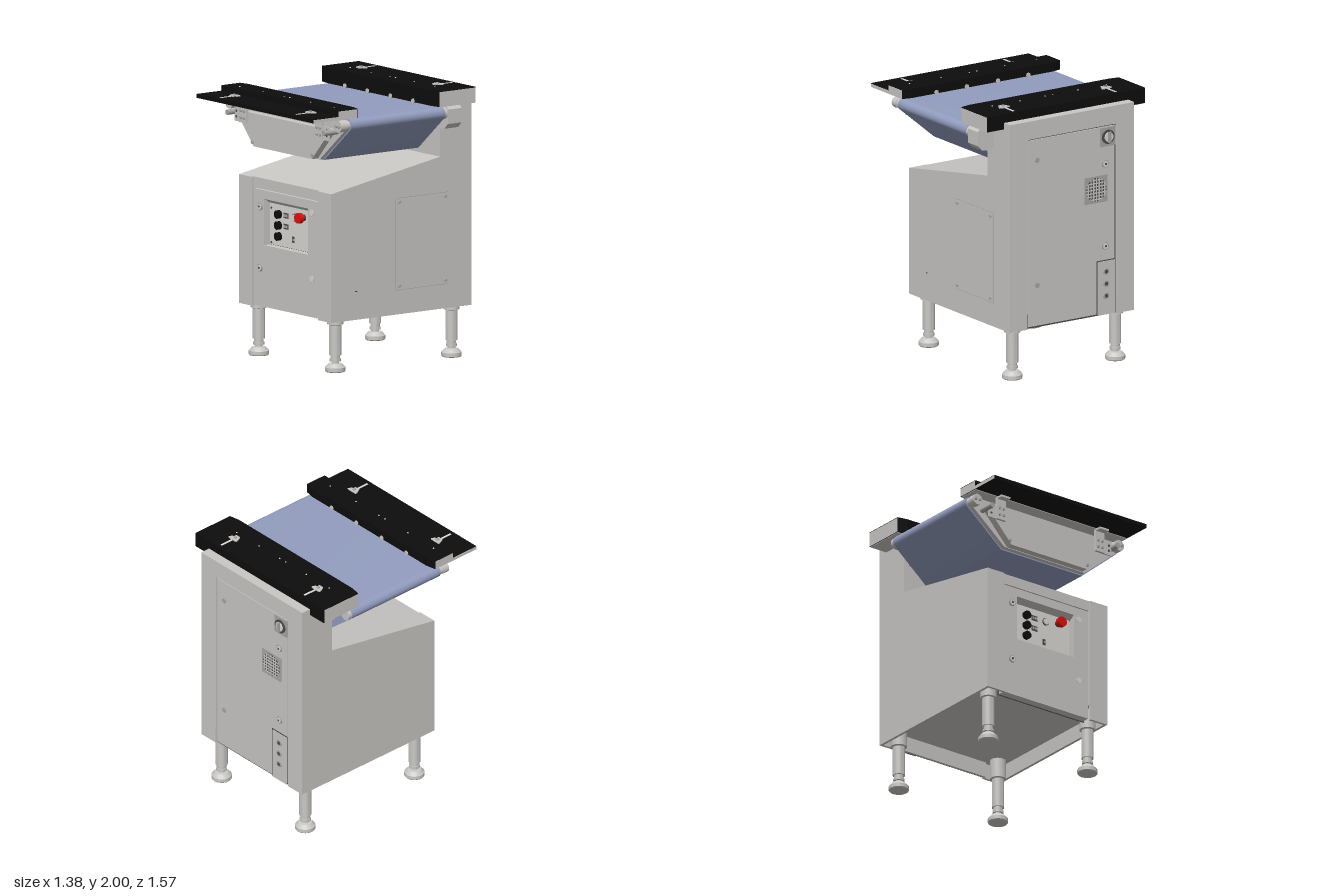
import * as THREE from 'three';
import { toCreasedNormals } from 'three/addons/utils/BufferGeometryUtils.js';

const mat = (name, color) => new THREE.MeshStandardMaterial({ name, color });

export function createModel() {
  const model = new THREE.Group();
  model.name = 'conveyorMachine';
  const grey = mat('paintedGrey', 0xc9c7c4);
  const pale = mat('panelGrey', 0xdcdad6);
  const steel = mat('steelGrey', 0xa9a7a4);
  const dark = mat('darkGrey', 0x4c4c4c);
  const black = mat('coverBlack', 0x0d0d0d);
  const blue = mat('beltBlue', 0x929cbe);
  const red = mat('stopRed', 0xe01010);

  function add(name, geo, m, x = 0, y = 0, z = 0, parent = model) {
    const mesh = new THREE.Mesh(geo, m);
    mesh.name = name;
    mesh.position.set(x, y, z);
    parent.add(mesh);
    return mesh;
  }
  // Box given by its limits
  const box = (name, m, x0, x1, y0, y1, z0, z1, parent) =>
    add(name, new THREE.BoxGeometry(x1 - x0, y1 - y0, z1 - z0), m,
      (x0 + x1) / 2, (y0 + y1) / 2, (z0 + z1) / 2, parent);
  // Cylinder lying along z
  const disc = (name, m, r, x, y, z0, z1, sides = 24, parent = model) =>
    add(name, new THREE.CylinderGeometry(r, r, z1 - z0, sides).rotateX(Math.PI / 2), m, x, y, (z0 + z1) / 2, parent);
  // Cylinder lying along x
  const pin = (name, m, r, x0, x1, y, z) =>
    add(name, new THREE.CylinderGeometry(r, r, x1 - x0, 16).rotateZ(Math.PI / 2), m, (x0 + x1) / 2, y, z);
  const poly = pts => new THREE.Shape(pts.map(p => new THREE.Vector2(p[0], p[1])));
  const extrude = (shape, depth) =>
    new THREE.ExtrudeGeometry(shape, { depth, bevelEnabled: false, curveSegments: 12 });
  // (z, y) profile stretched from x0 to x1
  const across = (name, m, pts, x0, x1) =>
    add(name, extrude(poly(pts), x1 - x0).rotateY(-Math.PI / 2), m, x1);
  // (x, z) plan raised from y0 to y1
  const raise = (name, m, pts, y0, y1) =>
    add(name, extrude(poly(pts.map(([x, z]) => [x, -z])), y1 - y0).rotateX(-Math.PI / 2), m, 0, y0);

  // Cabinet: two side bodies and a set-back core that forms the column
  const slope = z => 1.31 + (0.51 - z) * 0.1726;
  const side = [[0.51, 0.49], [0.51, 1.31], [-0.475, 1.48], [-0.475, 1.92], [-0.76, 1.92], [-0.76, 0.49]];
  const core = [[0.43, 0.49], [0.43, 1.235], [0.495, 1.235], [0.495, slope(0.495)], [-0.475, 1.48],
    [-0.475, 1.92], [-0.76, 1.92], [-0.76, 1.785], [-0.74, 1.785], [-0.74, 0.49]];
  across('rightSideBody', grey, side, -0.54, -0.39);
  across('leftSideBody', grey, side, 0.385, 0.54);
  across('cabinetCore', grey, core, -0.39, 0.385);

  // Skirt around the hollow underside
  for (const s of [-1, 1]) {
    const [a, b] = [s * 0.54, s * 0.52].sort((p, q) => p - q);
    box('skirtSide', grey, a, b, 0.375, 0.49, -0.76, 0.51);
    const [c, d] = [s * 0.52, s * 0.388].sort((p, q) => p - q);
    box('skirtFront', grey, c, d, 0.375, 0.49, 0.49, 0.51);
    box('skirtBack', grey, c, d, 0.375, 0.49, -0.76, -0.74);
  }
  box('skirtBackMiddle', grey, -0.39, 0.39, 0.375, 0.49, -0.74, -0.72);

  // Front door with control opening
  box('doorGap', dark, -0.39, 0.385, 0.376, 1.235, 0.43, 0.435);
  const door = poly([[-0.382, 0.382], [0.377, 0.382], [0.377, 1.228], [-0.382, 1.228]]);
  door.holes.push(poly([[-0.265, 0.83], [-0.265, 1.165], [0.25, 1.165], [0.25, 0.83]]));
  add('frontDoor', extrude(door, 0.06), grey, 0, 0, 0.435);
  across('controlHood', grey, [[0.494, 1.165], [0.44, 1.165], [0.44, 1.132]], -0.265, 0.25);

  // Control panel
  const panel = new THREE.Group();
  panel.name = 'controlPanel';
  model.add(panel);
  box('panelPlate', pale, -0.26, 0.245, 0.835, 1.14, 0.436, 0.446, panel);
  for (const y of [1.065, 0.985, 0.905]) disc('blackButton', black, 0.03, -0.148, y, 0.446, 0.475, 24, panel);
  for (const y of [1.065, 0.985]) {
    box('display', dark, -0.096, -0.044, y - 0.019, y + 0.019, 0.446, 0.45, panel);
    for (const dx of [-0.012, 0.012]) box('displayKey', steel, -0.079 + dx, -0.061 + dx, y - 0.009, y + 0.009, 0.45, 0.453, panel);
  }
  disc('ringButton', dark, 0.028, 0.03, 1.065, 0.446, 0.452, 24, panel);
  disc('ringButtonFace', pale, 0.023, 0.03, 1.065, 0.452, 0.46, 24, panel);
  disc('stopStem', dark, 0.024, 0.14, 1.08, 0.446, 0.475, 24, panel);
  disc('stopButton', red, 0.038, 0.14, 1.08, 0.475, 0.507, 24, panel);
  box('smallSwitch', dark, 0.005, 0.03, 0.88, 0.925, 0.446, 0.45, panel);
  box('smallSwitchKey', steel, 0.014, 0.03, 0.895, 0.91, 0.45, 0.454, panel);
  for (const x of [-0.24, 0.205]) for (const y of [0.85, 1.1]) disc('panelScrew', dark, 0.008, x, y, 0.446, 0.45, 8, panel);

  // Round lock with a keyhole; dir is the way it faces
  function lock(x, y, z, dir) {
    const span = (a, b) => (dir > 0 ? [z + a, z + b] : [z - b, z - a]);
    disc('lockRing', steel, 0.028, x, y, ...span(0, 0.008));
    disc('lockFace', pale, 0.021, x, y, ...span(0.008, 0.011));
    disc('lockKey', dark, 0.009, x, y, ...span(0.011, 0.013), 8);
  }
  lock(-0.31, 1.105, 0.495, 1);
  lock(-0.31, 0.66, 0.495, 1);
  for (const y of [1.14, 0.66]) disc('hingeStud', pale, 0.024, 0.295, y, 0.495, 0.499, 6);

  // Back panel with switch, fan and sockets
  box('backGap', dark, -0.388, 0.383, 0.376, 1.785, -0.744, -0.74);
  box('backPanel', grey, -0.375, 0.375, 0.39, 1.775, -0.754, -0.744);
  box('switchPlate', steel, -0.375, -0.245, 1.63, 1.77, -0.762, -0.754);
  disc('switchDial', dark, 0.052, -0.31, 1.70, -0.772, -0.762);
  disc('switchHub', pale, 0.036, -0.31, 1.70, -0.78, -0.772);
  box('switchGrip', steel, -0.322, -0.298, 1.66, 1.74, -0.792, -0.78);
  lock(-0.29, 1.5, -0.754, -1);
  lock(-0.29, 0.89, -0.754, -1);
  box('fanFrame', steel, -0.31, -0.11, 1.22, 1.42, -0.759, -0.754);
  disc('fanOpening', dark, 0.088, -0.21, 1.32, -0.761, -0.759);
  for (let i = -3; i <= 3; i++) {
    const h = Math.sqrt(0.088 ** 2 - (i * 0.024) ** 2);
    box('fanBar', grey, -0.21 - h, -0.21 + h, 1.316 + i * 0.024, 1.324 + i * 0.024, -0.764, -0.761);
    box('fanUpright', grey, -0.214 + i * 0.024, -0.206 + i * 0.024, 1.32 - h, 1.32 + h, -0.764, -0.761);
  }
  box('socketEdge', dark, -0.375, -0.215, 0.38, 0.785, -0.757, -0.754);
  box('socketPlate', grey, -0.375, -0.222, 0.38, 0.778, -0.76, -0.757);
  for (const y of [0.52, 0.61, 0.7]) {
    disc('socketRing', steel, 0.024, -0.295, y, -0.766, -0.76);
    disc('socketHole', dark, 0.014, -0.295, y, -0.768, -0.766, 12);
  }
  for (const y of [1.62, 0.69]) disc('backStud', steel, 0.02, 0.3, y, -0.758, -0.754, 12);

  // Hatch on the left side
  box('hatchEdge', steel, 0.54, 0.5415, 0.55, 1.22, -0.55, -0.07);
  box('hatch', grey, 0.5415, 0.544, 0.554, 1.216, -0.546, -0.074);
  for (const y of [0.58, 1.19]) for (const z of [-0.105, -0.52]) pin('hatchScrew', steel, 0.011, 0.544, 0.552, y, z);
  box('sideSlot', dark, 0.54, 0.542, 0.577, 0.584, 0.275, 0.296);

  // Legs on adjustable feet
  const legProfile = [[0, 0], [0.068, 0], [0.073, 0.006], [0.073, 0.032], [0.05, 0.058], [0.028, 0.062], [0.028, 0.075],
    [0.04, 0.075], [0.04, 0.095], [0.034, 0.095], [0.034, 0.12], [0.044, 0.12], [0.044, 0.34], [0.058, 0.345],
    [0.058, 0.49], [0, 0.49]].map(p => new THREE.Vector2(...p));
  const leg = toCreasedNormals(new THREE.LatheGeometry(legProfile, 28), 0.6);
  for (const x of [-0.45, 0.445]) for (const z of [0.4, -0.65]) add('leg', leg, grey, x, 0, z);

  // Belt loop and side plates share one outline, shrunk by d
  function loop(d) {
    const s = new THREE.Shape(), a = 0.9, r = 0.046 - d, b = 0.04 - d, P = Math.PI;
    s.absarc(0.639, 1.816, r, P / 2, -a, true);
    s.absarc(0.35, 1.566, b, -a, -P / 2, true);
    s.absarc(-0.35, 1.566, b, -P / 2, -P + a, true);
    s.absarc(-0.641, 1.816, r, P + a, P / 2, true);
    s.closePath();
    return s;
  }
  add('belt', toCreasedNormals(extrude(loop(0), 0.85), 0.5), blue, 0, 0, -0.41);
  add('frontSidePlate', toCreasedNormals(extrude(loop(0.009), 0.035), 0.5), grey, 0, 0, 0.44);
  box('backBeam', grey, -0.5, 0.5, 1.70, 1.84, -0.475, -0.41);
  box('backLowerBeam', grey, -0.34, 0.34, 1.54, 1.62, -0.475, -0.41);
  add('frontGuard', extrude(poly([[-0.56, 1.78], [-0.34, 1.54], [0.34, 1.54], [0.56, 1.78]]), 0.055), grey, 0, 0, 0.475);
  for (const x of [-0.641, 0.639]) {
    disc('frontRollerCap', grey, 0.042, x, 1.815, 0.475, 0.525);
    disc('backRollerCap', grey, 0.042, x, 1.815, -0.44, -0.41);
    for (const dx of [-0.018, 0.018]) disc('rollerBolt', steel, 0.011, x + dx, 1.815, 0.525, 0.535, 8);
  }
  for (const x of [-0.355, 0.345]) disc('guardBolt', steel, 0.013, x, 1.57, 0.53, 0.537, 12);

  // Brackets that carry the front cover
  for (const s of [-1, 1]) {
    const x = s * 0.445;
    box('coverBracket', grey, x - 0.04, x + 0.04, 1.70, 1.87, 0.53, 0.55);
    box('coverBracketFoot', grey, x - 0.04, x + 0.04, 1.855, 1.87, 0.53, 0.6);
    box('bracketPlate', grey, x + s * 0.075 - 0.034, x + s * 0.075 + 0.034, 1.70, 1.80, 0.53, 0.54);
    for (const y of [1.735, 1.785]) for (const dx of [-0.018, 0.018]) disc('bracketBolt', steel, 0.01, x + dx, y, 0.55, 0.56, 8);
    for (const y of [1.735, 1.775]) disc('plateBolt', dark, 0.009, x + s * 0.085, y, 0.54, 0.543, 8);
    disc('adjustKnob', steel, 0.02, s * 0.565, 1.765, 0.475, 0.6, 12);
  }

  // Drive housing at the back of the belt
  const housing = poly([[0.47, 1.87], [0.47, 1.75], [0.51, 1.70], [0.64, 1.70], [0.682, 1.74], [0.682, 1.845], [0.655, 1.87]]);
  add('driveHousing', extrude(housing, 0.125), grey, 0, 0, -0.56);

  // Black covers with grey ends; inner corners cut back
  const plan = (inner, outer, d) => [[-0.688, outer], [0.684, outer], [0.684, inner + d], [0.61, inner], [-0.61, inner], [-0.688, inner + d]];
  raise('backCover', black, plan(-0.34, -0.685, -0.015), 1.872, 1.985);
  raise('frontCover', black, plan(0.37, 0.555, 0.015), 1.872, 1.94);
  box('frontFlap', black, -0.688, 0.684, 1.872, 1.9, 0.555, 0.78);
  box('backCoverBase', grey, -0.682, 0.678, 1.868, 1.872, -0.68, -0.36);
  box('frontCoverBase', grey, -0.682, 0.678, 1.868, 1.872, 0.39, 0.555);
  for (const [a, b] of [[-0.69, -0.688], [0.684, 0.686]]) {
    box('backCoverEnd', grey, a, b, 1.872, 1.98, -0.68, -0.358);
    box('frontCoverEnd', grey, a, b, 1.872, 1.935, 0.388, 0.555);
    box('frontFlapEnd', grey, a, b, 1.872, 1.896, 0.555, 0.78);
  }

  // Small guide rollers along the inner cover edges, and cover rivets
  for (const x of [-0.4, -0.135, 0.135, 0.4]) {
    disc('backGuideRoller', grey, 0.018, x, 1.88, -0.37, -0.334, 12);
    disc('frontGuideRoller', grey, 0.018, x, 1.88, 0.364, 0.4, 12);
  }
  const rivet = new THREE.CylinderGeometry(0.006, 0.006, 0.004, 8);
  for (const x of [-0.5, -0.255, -0.035, 0.03, 0.25, 0.49]) add('backRivet', rivet, pale, x, 1.986, -0.465);
  for (const x of [-0.555, -0.28, -0.035, 0.03, 0.275, 0.55]) add('frontRivet', rivet, pale, x, 1.941, 0.49);

  // Wing screws in slots
  const wing = [[-0.044, -0.024], [-0.026, -0.03], [0.026, -0.03], [0.044, -0.024], [0.034, 0.004], [0.02, 0.006],
    [0.02, 0.03], [-0.02, 0.03], [-0.034, 0.004]];
  function wingScrew(x, y, z, dir, s0, s1) {
    box('slot', pale, x - 0.008, x + 0.008, y, y + 0.003, s0, s1);
    raise('wing', grey, wing.map(([a, b]) => [x + a, z + b * dir]), y, y + 0.008);
    add('wingStud', new THREE.CylinderGeometry(0.013, 0.013, 0.012, 12), steel, x, y + 0.009, z);
  }
  for (const x of [-0.45, 0.44]) {
    wingScrew(x, 1.985, -0.525, 1, -0.66, -0.53);
    wingScrew(x, 1.9, 0.622, 1, 0.63, 0.75);
  }
  return model;
}
